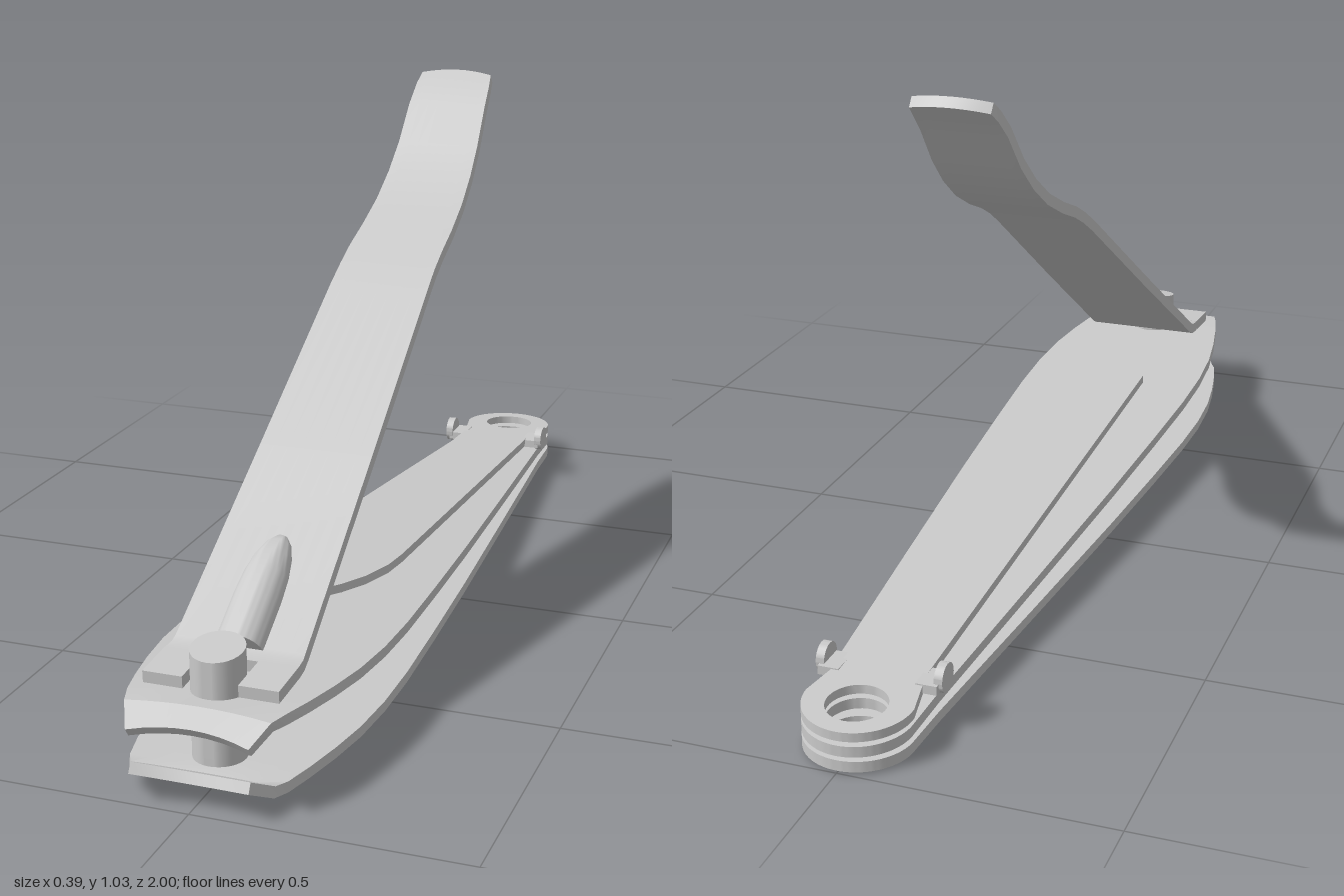
import * as THREE from 'three';
import { toCreasedNormals } from 'three/addons/utils/BufferGeometryUtils.js';

const steel = new THREE.MeshStandardMaterial({ color: 0xcacaca });
steel.name = 'brushed steel';

function add(parent, name, geometry, crease = 0.5) {
  const mesh = new THREE.Mesh(toCreasedNormals(geometry, crease), steel);
  mesh.name = name;
  parent.add(mesh);
  return mesh;
}

// Bent sheet swept front to back. Rows: [z, y of underside, xMin, xMax, bow of the edge along the sheet]
function strip(rows, thick, cols = 8) {
  const rings = rows.map(([z, y, x0, x1, bow = 0], i) => {
    const p = rows[Math.max(i - 1, 0)], q = rows[Math.min(i + 1, rows.length - 1)];
    const len = Math.hypot(q[0] - p[0], q[1] - p[1]);
    const tz = (q[0] - p[0]) / len, ty = (q[1] - p[1]) / len;
    const point = (j, h) => {
      const u = j / cols, b = bow * (1 - (2 * u - 1) ** 2);
      return [x0 + (x1 - x0) * u, y + ty * b - tz * h, z + tz * b + ty * h];
    };
    const ring = [];
    for (let j = 0; j <= cols; j++) ring.push(point(j, thick));
    for (let j = cols; j >= 0; j--) ring.push(point(j, 0));
    return ring;
  });
  const pos = [];
  const quad = (a, b, c, d) => pos.push(...a, ...b, ...c, ...a, ...c, ...d);
  const n = 2 * cols + 2;
  for (let i = 0; i < rings.length - 1; i++) {
    for (let k = 0; k < n; k++) {
      const m = (k + 1) % n;
      quad(rings[i][k], rings[i][m], rings[i + 1][m], rings[i + 1][k]);
    }
  }
  const f = rings[0], e = rings[rings.length - 1];
  for (let j = 0; j < cols; j++) {
    quad(f[j], f[n - 1 - j], f[n - 2 - j], f[j + 1]);
    quad(e[j], e[j + 1], e[n - 2 - j], e[n - 1 - j]);
  }
  const g = new THREE.BufferGeometry();
  g.setAttribute('position', new THREE.Float32BufferAttribute(pos, 3));
  return g;
}

// Rounded rear end with the chain hole, sheared to follow the slope of its plate
function tail(halfWidth, thick, height) {
  const s = new THREE.Shape();
  s.moveTo(-halfWidth, 0.8);
  s.lineTo(halfWidth, 0.8);
  s.lineTo(0.1, 0.9);
  s.absarc(0, 0.9, 0.1, 0, Math.PI, false);
  s.closePath();
  const hole = new THREE.Path();
  hole.absarc(0, 0.912, 0.055, 0, Math.PI * 2, true);
  s.holes.push(hole);
  const g = new THREE.ExtrudeGeometry(s, { depth: thick, bevelEnabled: false, curveSegments: 24 });
  g.rotateX(-Math.PI / 2);
  const p = g.attributes.position;
  for (let i = 0; i < p.count; i++) p.setY(i, p.getY(i) + height(p.getZ(i)));
  return g;
}

const lowerY = z => 0.005 + 0.0105 * (z + 1);
const upperY = z => 0.033 + 0.06 * (z + 1);
const fileY = z => 0.062 + 0.058 * (z + 1);

// Half widths shared by both jaw plates
const outline = [[0.92, 0.145], [0.86, 0.16], [0.78, 0.176], [0.69, 0.189], [0.58, 0.195],
  [0.45, 0.193], [0.25, 0.182], [0, 0.166], [-0.4, 0.136], [-0.8, 0.105]];

function jaw(parent, name, height, lip) {
  const group = new THREE.Group();
  group.name = name;
  const rows = lip.concat(outline.map(([z, w]) => [z, height(z), -w, w]));
  add(group, name + 'Plate', strip(rows, 0.02));
  add(group, name + 'Tail', tail(0.105, 0.02, height));
  parent.add(group);
}

export function createModel() {
  const model = new THREE.Group();
  model.name = 'nailClipper';

  // Jaws with cutting lips bent towards each other
  jaw(model, 'lowerJaw', lowerY, [[1, 0.055, -0.108, 0.108, 0.018], [0.95, 0.027, -0.132, 0.132, 0.01]]);
  jaw(model, 'upperJaw', upperY, [[0.99, 0.12, -0.11, 0.11, 0.018], [0.95, 0.148, -0.132, 0.132, 0.01]]);

  // Nail file with a tip swept to one side
  const file = new THREE.Group();
  file.name = 'nailFile';
  const fileRows = [[0.51, -0.075], [0.47, -0.045], [0.42, -0.01], [0.36, 0.03], [0.3, 0.057], [0.22, 0.076], [0.15, 0.08], [-0.8, 0.08]]
    .map(([z, x]) => [z, fileY(z), -0.08, x]);
  add(file, 'fileBlade', strip(fileRows, 0.017));
  add(file, 'fileTail', tail(0.08, 0.017, fileY));
  for (const side of [-1, 1]) {
    const tab = add(file, 'fileTab', new THREE.BoxGeometry(0.04, 0.017, 0.06));
    tab.position.set(side * 0.092, fileY(-0.8) + 0.009, -0.8);
    const ear = add(file, 'fileEar', new THREE.CylinderGeometry(0.027, 0.027, 0.016, 20));
    ear.rotation.z = Math.PI / 2;
    ear.position.set(side * 0.111, 0.092, -0.795);
  }
  model.add(file);

  // Lever: curved arm plus two prongs around the post
  const lever = new THREE.Group();
  lever.name = 'lever';
  const arm = [[0.815, 0.179, 0.124], [0.785, 0.181, 0.122], [0.765, 0.19, 0.121], [0.4, 0.423, 0.111], [0.05, 0.65, 0.101],
    [0, 0.68, 0.099], [-0.05, 0.705, 0.098], [-0.12, 0.733, 0.096], [-0.2, 0.772, 0.093], [-0.27, 0.82, 0.09],
    [-0.33, 0.875, 0.087], [-0.39, 0.948, 0.084], [-0.43, 0.985, 0.081], [-0.455, 1.004, 0.077, 0.012]]
    .map(([z, y, w, b]) => [z, y, -w, w, b]);
  add(lever, 'leverArm', strip(arm, 0.022));
  for (const side of [-1, 1]) {
    const prong = add(lever, 'leverProng', new THREE.BoxGeometry(0.073, 0.022, 0.09));
    prong.position.set(side * 0.0875, 0.188, 0.858);
    prong.rotation.x = 0.06;
  }

  // Bullet-shaped rib pressed into the lever
  const profile = [[0, 0], [0.046, 0], [0.046, 0.1], [0.043, 0.15], [0.036, 0.19], [0.025, 0.22], [0.012, 0.238], [0, 0.243]]
    .map(([r, h]) => new THREE.Vector2(r, h));
  const rib = add(lever, 'leverRib', new THREE.LatheGeometry(profile, 24, -Math.PI / 2, Math.PI), 0.7);
  rib.rotation.x = -0.998;
  rib.position.set(0, 0.199, 0.778);
  model.add(lever);

  // Post with a slanted head and a shallow domed foot
  const postGeo = new THREE.CylinderGeometry(0.048, 0.048, 0.235, 32);
  const p = postGeo.attributes.position;
  for (let i = 0; i < p.count; i++) if (p.getY(i) > 0) p.setY(i, p.getY(i) - p.getZ(i) * 0.17);
  add(model, 'post', postGeo).position.set(0, 0.1255, 0.868);
  const foot = [[0, 0], [0.025, 0.002], [0.042, 0.008], [0.05, 0.018], [0.05, 0.026]]
    .map(([r, h]) => new THREE.Vector2(r, h));
  add(model, 'postFoot', new THREE.LatheGeometry(foot, 32), 0.7).position.set(0, 0, 0.868);

  return model;
}
